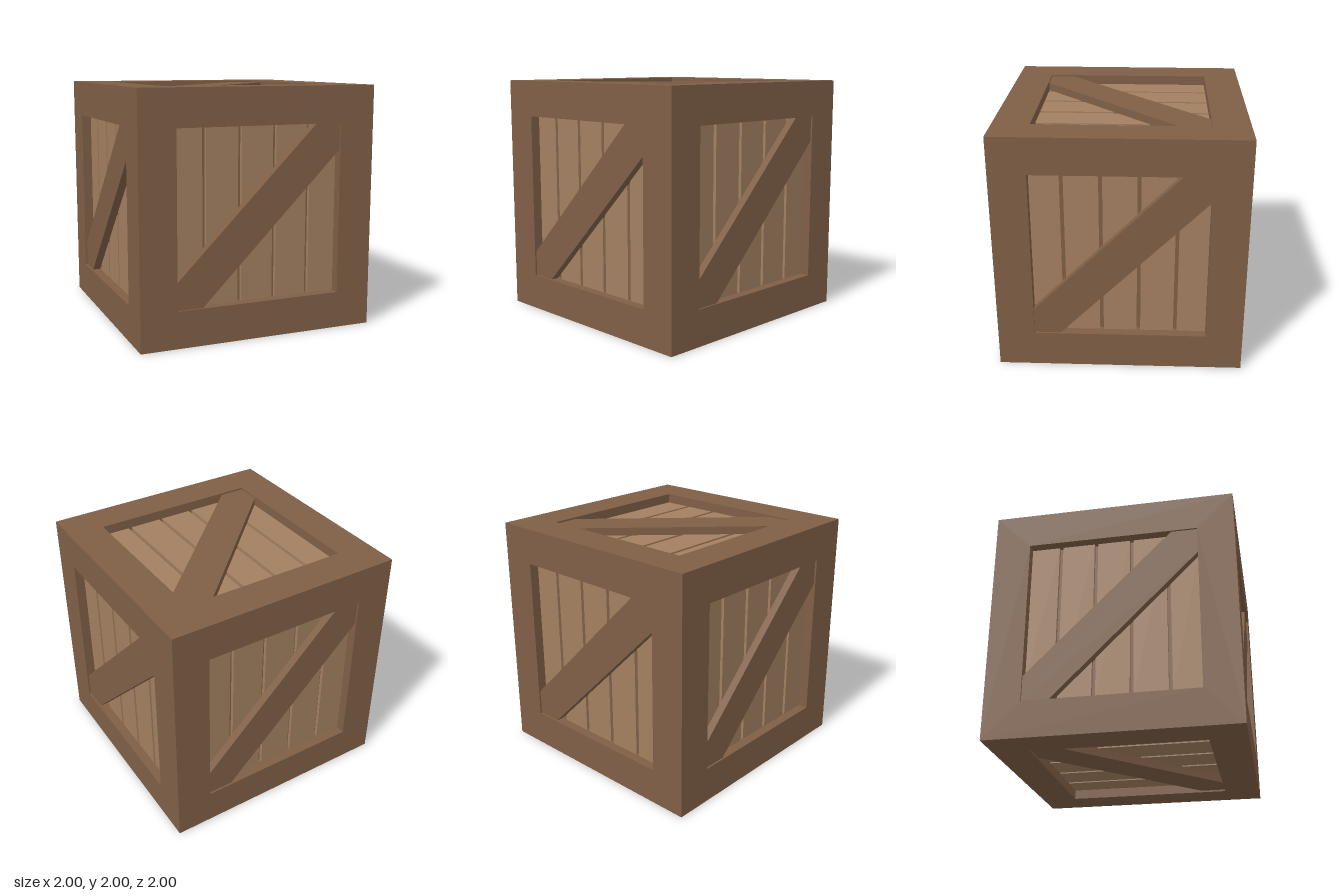
import * as THREE from 'three';

const HALF = 1;        // half of the crate's side
const OPEN = 0.7;      // half of the opening in each frame
const PLANK = 0.92;    // distance of the plank fronts from the centre
const CORE = 0.89;     // distance of the backing behind the planks
const BRACE = 0.985;   // distance of the brace fronts from the centre

const darkWood = new THREE.MeshStandardMaterial({ color: 0x7f5f46 });
const lightWood = new THREE.MeshStandardMaterial({ color: 0xa27f60 });

const polygon = (points) => points.map(([x, y]) => new THREE.Vector2(x, y));
const square = (r) => polygon([[-r, -r], [r, -r], [r, r], [-r, r]]);

function extrude(shape, back, front) {
  const geometry = new THREE.ExtrudeGeometry(shape, { depth: front - back, bevelEnabled: false });
  return geometry.translate(0, 0, back);
}

// Square frame whose outer rim is mitred so that six of them close into a cube
function frameGeometry() {
  const shape = new THREE.Shape(square(HALF));
  shape.holes.push(new THREE.Path(square(OPEN).reverse()));
  const geometry = extrude(shape, CORE, HALF);
  const p = geometry.attributes.position;
  for (let i = 0; i < p.count; i++) {
    const isOuter = Math.abs(p.getX(i)) > 0.9;
    if (isOuter && p.getZ(i) < 0.95) p.setXY(i, p.getX(i) * CORE, p.getY(i) * CORE);
  }
  geometry.computeVertexNormals();
  return geometry;
}

// Diagonal board cut to fit the opening's corners
function braceGeometry() {
  const a = OPEN, b = OPEN - 0.215;
  const shape = new THREE.Shape(polygon([[-a, -a], [-b, -a], [a, b], [a, a], [b, a], [-a, -b]]));
  return extrude(shape, PLANK - 0.01, BRACE);
}

export function createModel() {
  const crate = new THREE.Group();
  crate.name = 'crate';

  const frame = frameGeometry();
  const brace = braceGeometry();
  const plank = new THREE.BoxGeometry(0.27, 2 * OPEN, PLANK - CORE);

  const add = (parent, name, geometry, material) => {
    const mesh = new THREE.Mesh(geometry, material);
    mesh.name = name;
    parent.add(mesh);
    return mesh;
  };

  // Inner box seen through the gaps between planks
  add(crate, 'backing', new THREE.BoxGeometry(2 * CORE, 2 * CORE, 2 * CORE), darkWood).position.y = HALF;

  // One panel, turned onto each of the six sides
  const sides = {
    front: [0, 0], right: [0, Math.PI / 2], back: [0, Math.PI], left: [0, -Math.PI / 2],
    top: [-Math.PI / 2, 0], bottom: [Math.PI / 2, 0],
  };
  for (const [side, [rx, ry]] of Object.entries(sides)) {
    const panel = new THREE.Group();
    panel.name = `${side}Panel`;
    panel.position.y = HALF;
    panel.rotation.set(rx, ry, 0);
    add(panel, 'frame', frame, darkWood);
    add(panel, 'brace', brace, darkWood);
    for (let i = -2; i <= 2; i++) {
      add(panel, 'plank', plank, lightWood).position.set(i * 0.3, 0, (PLANK + CORE) / 2);
    }
    crate.add(panel);
  }
  return crate;
}
